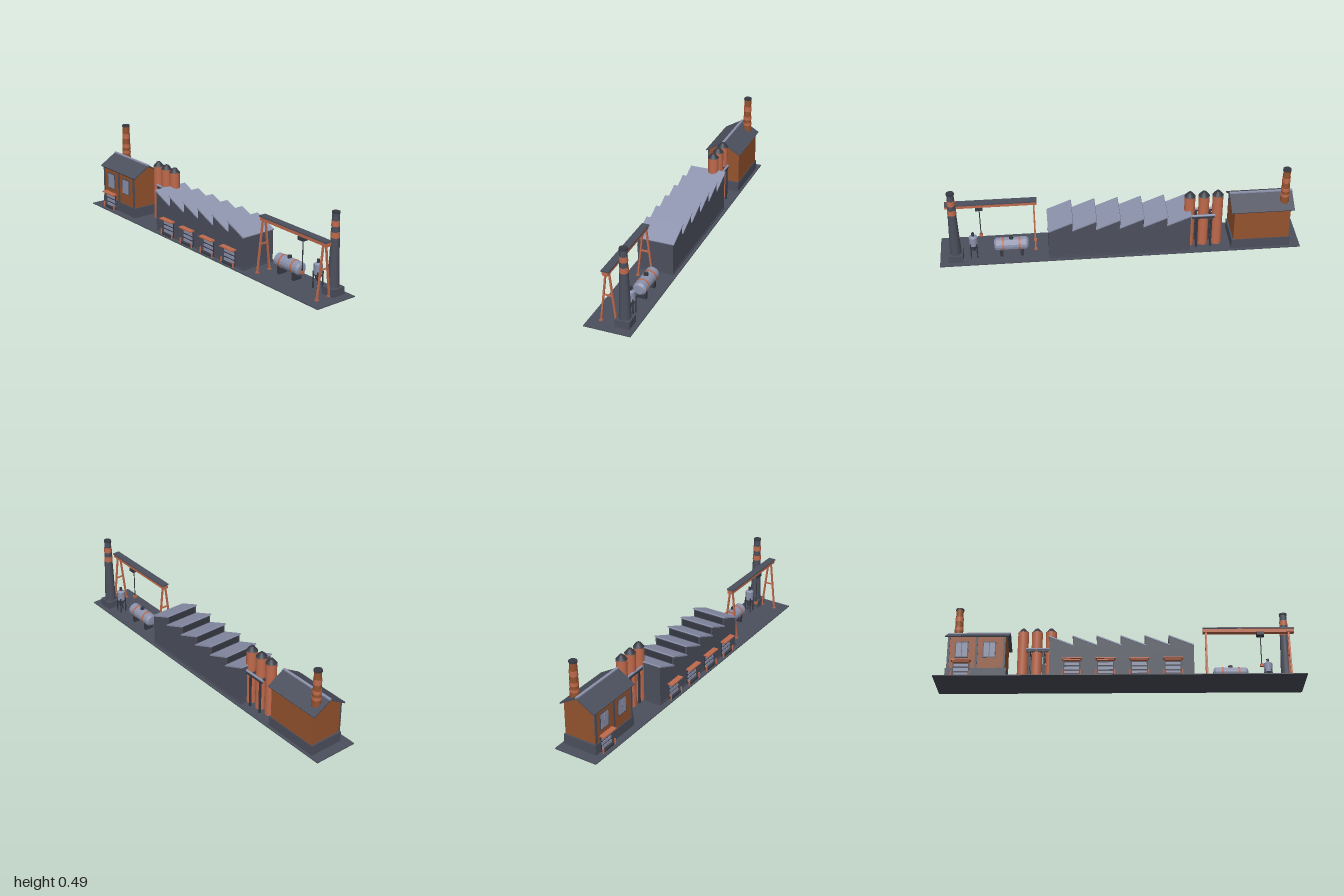
import * as THREE from 'three';

const mat = (name, color, extra = {}) => {
  const m = new THREE.MeshStandardMaterial({ color, ...extra });
  m.name = name;
  return m;
};

export function createModel() {
  const slate = mat('slate', 0x4c505d);
  const dark = mat('dark steel', 0x373a44);
  const light = mat('pale metal', 0x8d93ad);
  const orange = mat('orange', 0xc06a4c);
  const brick = mat('brick', 0x95532f);

  const root = new THREE.Group();
  root.name = 'factoryRow';
  const group = (name, x = 0, y = 0, z = 0) => {
    const g = new THREE.Group();
    g.name = name;
    g.position.set(x, y, z);
    root.add(g);
    return g;
  };
  const add = (parent, name, geo, m, x = 0, y = 0, z = 0) => {
    const mesh = new THREE.Mesh(geo, m);
    mesh.name = name;
    mesh.position.set(x, y, z);
    parent.add(mesh);
    return mesh;
  };
  // box given by its min and max corners
  const box = (p, name, m, x0, x1, y0, y1, z0, z1) =>
    add(p, name, new THREE.BoxGeometry(x1 - x0, y1 - y0, z1 - z0), m, (x0 + x1) / 2, (y0 + y1) / 2, (z0 + z1) / 2);
  // upright cylinder from y0 to y1
  const cyl = (p, name, m, rTop, rBottom, y0, y1, x = 0, z = 0, sides = 12) =>
    add(p, name, new THREE.CylinderGeometry(rTop, rBottom, y1 - y0, sides).toNonIndexed(), m, x, (y0 + y1) / 2, z);
  // square bar between two points
  const bar = (p, name, m, a, b, w) => {
    const A = new THREE.Vector3(...a), B = new THREE.Vector3(...b);
    const mesh = add(p, name, new THREE.BoxGeometry(w, A.distanceTo(B), w), m);
    mesh.position.copy(A).add(B).multiplyScalar(0.5);
    mesh.quaternion.setFromUnitVectors(new THREE.Vector3(0, 1, 0), B.sub(A).normalize());
    return mesh;
  };
  const extrude = (pts, depth) => new THREE.ExtrudeGeometry(
    new THREE.Shape(pts.map(([x, y]) => new THREE.Vector2(x, y))), { depth, bevelEnabled: false });

  box(root, 'groundSlab', slate, -1, 1, 0, 0.005, -0.128, 0.128);

  // Loading bay: shuttered door, canopy, dock and bollards
  const loadingBay = (x, z) => {
    const g = group('loadingBay', x, 0, z);
    box(g, 'doorFrame', dark, -0.046, 0.046, 0.005, 0.092, 0, 0.003);
    for (const y of [0.018, 0.043, 0.068]) box(g, 'shutterSlat', light, -0.04, 0.04, y, y + 0.016, 0, 0.007);
    box(g, 'canopy', orange, -0.053, 0.053, 0.098, 0.104, 0, 0.031);
    box(g, 'canopyBracket', orange, -0.046, 0.046, 0.092, 0.098, 0, 0.022);
    box(g, 'dock', dark, -0.046, 0.046, 0.005, 0.016, 0, 0.02);
    for (const s of [-1, 1]) cyl(g, 'bollard', orange, 0.005, 0.005, 0.005, 0.036, s * 0.05, 0.02, 8);
  };

  // Brick house with gabled roof
  const house = group('brickHouse');
  box(house, 'plinth', slate, -0.942, -0.612, 0.005, 0.063, -0.113, 0.086);
  const ridgeZ = -0.014;
  const walls = add(house, 'walls', extrude(
    [[-0.08, 0.06], [0.109, 0.06], [0.109, 0.25], [-ridgeZ, 0.305], [-0.08, 0.25]], 0.31), brick, -0.932);
  walls.geometry.rotateY(Math.PI / 2);
  for (const s of [-1, 1]) {
    const slope = Math.atan2(0.062, 0.104);
    const panel = add(house, 'roofPanel', new THREE.BoxGeometry(0.348, 0.007, 0.123), slate,
      -0.778, 0.28, ridgeZ + s * 0.052);
    panel.rotation.x = s * slope;
  }
  box(house, 'ridgeCap', light, -0.952, -0.604, 0.308, 0.317, ridgeZ - 0.007, ridgeZ + 0.007);
  for (const x of [-0.929, -0.777, -0.625]) box(house, 'pilaster', slate, x - 0.006, x + 0.006, 0.06, 0.25, 0.078, 0.085);
  for (const x of [-0.857, -0.707]) {
    box(house, 'windowFrame', slate, x - 0.036, x + 0.036, 0.125, 0.22, 0.079, 0.083);
    for (const s of [-1, 1]) box(house, 'windowPane', light, x + s * 0.016 - 0.0145, x + s * 0.016 + 0.0145, 0.131, 0.214, 0.08, 0.085);
  }
  loadingBay(-0.855, 0.085);

  // Tapered chimneys with bands and a cap
  const chimney = (name, x, z, y0, y1, r0, r1, m, bands) => {
    const g = group(name, x, 0, z);
    const rad = y => r0 + (r1 - r0) * (y - y0) / (y1 - y0);
    cyl(g, 'shaft', m, r1, r0, y0, y1 - 0.004);
    for (const [a, b] of bands) cyl(g, 'band', orange, rad(b) + 0.0015, rad(a) + 0.0015, a, b);
    cyl(g, 'cap', dark, r1 + 0.003, r1 + 0.003, y1 - 0.009, y1);
    cyl(g, 'flue', dark, r1 * 0.7, r1 * 0.7, y1, y1 + 0.001);
    return g;
  };
  chimney('brickChimney', -0.902, -0.062, 0.25, 0.488, 0.026, 0.02, brick, [[0.315, 0.33], [0.35, 0.37], [0.405, 0.435]]);
  const stack = chimney('tallStack', 0.912, -0.062, 0.04, 0.446, 0.032, 0.019, slate, [[0.31, 0.34], [0.37, 0.4]]);
  box(stack, 'stackBase', slate, -0.04, 0.04, 0.005, 0.047, -0.04, 0.04);

  // Three silos with a pipe rack
  const silos = group('silos');
  for (const x of [-0.536, -0.459, -0.381]) {
    cyl(silos, 'siloBody', orange, 0.03, 0.03, 0.005, 0.325, x, -0.038, 16);
    cyl(silos, 'siloCap', dark, 0.011, 0.031, 0.325, 0.35, x, -0.038, 16);
  }
  const rack = group('pipeRack');
  for (const x of [-0.498, -0.42]) {
    for (const z of [-0.078, -0.012]) box(rack, 'rackPost', dark, x - 0.005, x + 0.005, 0.005, 0.21, z - 0.005, z + 0.005);
    box(rack, 'crossBeam', dark, x - 0.005, x + 0.005, 0.2, 0.211, -0.085, -0.005);
  }
  for (const z of [-0.078, -0.012]) {
    box(rack, 'rackBeam', dark, -0.515, -0.39, 0.2, 0.21, z - 0.005, z + 0.005);
    const pipe = cyl(rack, 'pipe', light, 0.007, 0.007, 0, 0.13, 0, 0, 8);
    pipe.rotation.z = Math.PI / 2;
    pipe.position.set(-0.453, 0.217, z);
  }

  // Sawtooth hall
  const hall = group('sawtoothHall');
  const X0 = -0.38, teeth = 6, W = 0.78 / teeth, high = 0.238, low = 0.184;
  const outline = [[X0, 0.005]];
  outline.push([X0 + W * teeth, 0.005]);
  for (let i = teeth - 1; i >= 0; i--) outline.push([X0 + W * (i + 1), low], [X0 + W * i, high]);
  add(hall, 'hallWalls', extrude(outline, 0.202), slate, 0, 0, -0.107);
  box(hall, 'hallFooting', slate, X0 - 0.003, X0 + W * teeth + 0.003, 0.005, 0.014, -0.11, 0.098);
  for (let i = 0; i < teeth; i++) {
    const x = X0 + W * i;
    const slab = add(hall, 'roofSlab', new THREE.BoxGeometry(Math.hypot(W, high - low) + 0.006, 0.007, 0.212), light,
      x + W / 2 - 0.002, (high + low) / 2 + 0.004, -0.006);
    slab.rotation.z = -Math.atan2(high - low, W);
    if (i > 0) box(hall, 'clerestoryGlass', dark, x - 0.003, x, low + 0.013, high - 0.006, -0.097, 0.085);
  }
  for (const x of [-0.257, -0.076, 0.105, 0.286]) loadingBay(x, 0.096);

  // Gantry crane on A-frame legs
  const crane = group('gantryCrane', 0, 0, 0.021);
  box(crane, 'beam', orange, 0.455, 0.955, 0.291, 0.311, -0.015, 0.015);
  box(crane, 'topRail', slate, 0.455, 0.955, 0.311, 0.318, -0.021, 0.021);
  for (const x of [0.472, 0.925]) {
    for (const s of [-1, 1]) {
      bar(crane, 'leg', orange, [x, 0.008, s * 0.042], [x, 0.295, s * 0.009], 0.009);
      box(crane, 'foot', orange, x - 0.008, x + 0.008, 0.005, 0.011, s * 0.042 - 0.008, s * 0.042 + 0.008);
    }
    box(crane, 'legBrace', orange, x - 0.004, x + 0.004, 0.16, 0.167, -0.025, 0.025);
  }
  box(crane, 'trolley', dark, 0.75, 0.79, 0.272, 0.291, -0.019, 0.019);
  cyl(crane, 'cable', dark, 0.003, 0.003, 0.1, 0.275, 0.77, 0, 6);
  box(crane, 'hookBlock', orange, 0.761, 0.779, 0.09, 0.103, -0.009, 0.009);

  // Horizontal storage tank on saddles
  const tank = group('storageTank', 0.605, 0.073, -0.042);
  const profile = [[0, -0.095], [0.026, -0.094], [0.037, -0.084], [0.037, 0.084], [0.026, 0.094], [0, 0.095]];
  const shell = new THREE.LatheGeometry(profile.map(p => new THREE.Vector2(...p)), 16).toNonIndexed();
  shell.computeVertexNormals();
  add(tank, 'tankShell', shell, light).rotation.z = Math.PI / 2;
  for (const x of [-0.045, 0.045]) {
    add(tank, 'tankBand', new THREE.CylinderGeometry(0.0385, 0.0385, 0.01, 16), orange, x).rotation.z = Math.PI / 2;
    box(tank, 'saddle', dark, x * 1.25 - 0.009, x * 1.25 + 0.009, -0.068, -0.026, -0.027, 0.027);
  }
  cyl(tank, 'hatch', dark, 0.012, 0.012, 0.03, 0.049);

  // Small hopper on legs
  const hopper = group('hopper', 0.812, 0, -0.05);
  cyl(hopper, 'hopperBody', light, 0.024, 0.024, 0.085, 0.138, 0, 0, 8);
  cyl(hopper, 'hopperCone', slate, 0.024, 0.007, 0.045, 0.085, 0, 0, 8);
  cyl(hopper, 'hopperLid', light, 0.012, 0.024, 0.138, 0.146, 0, 0, 8);
  cyl(hopper, 'hopperVent', dark, 0.008, 0.008, 0.146, 0.165, 0, 0, 8);
  for (const sx of [-1, 1]) for (const sz of [-1, 1])
    bar(hopper, 'hopperLeg', dark, [sx * 0.017, 0.005, sz * 0.017], [sx * 0.017, 0.1, sz * 0.017], 0.006);

  return root;
}
